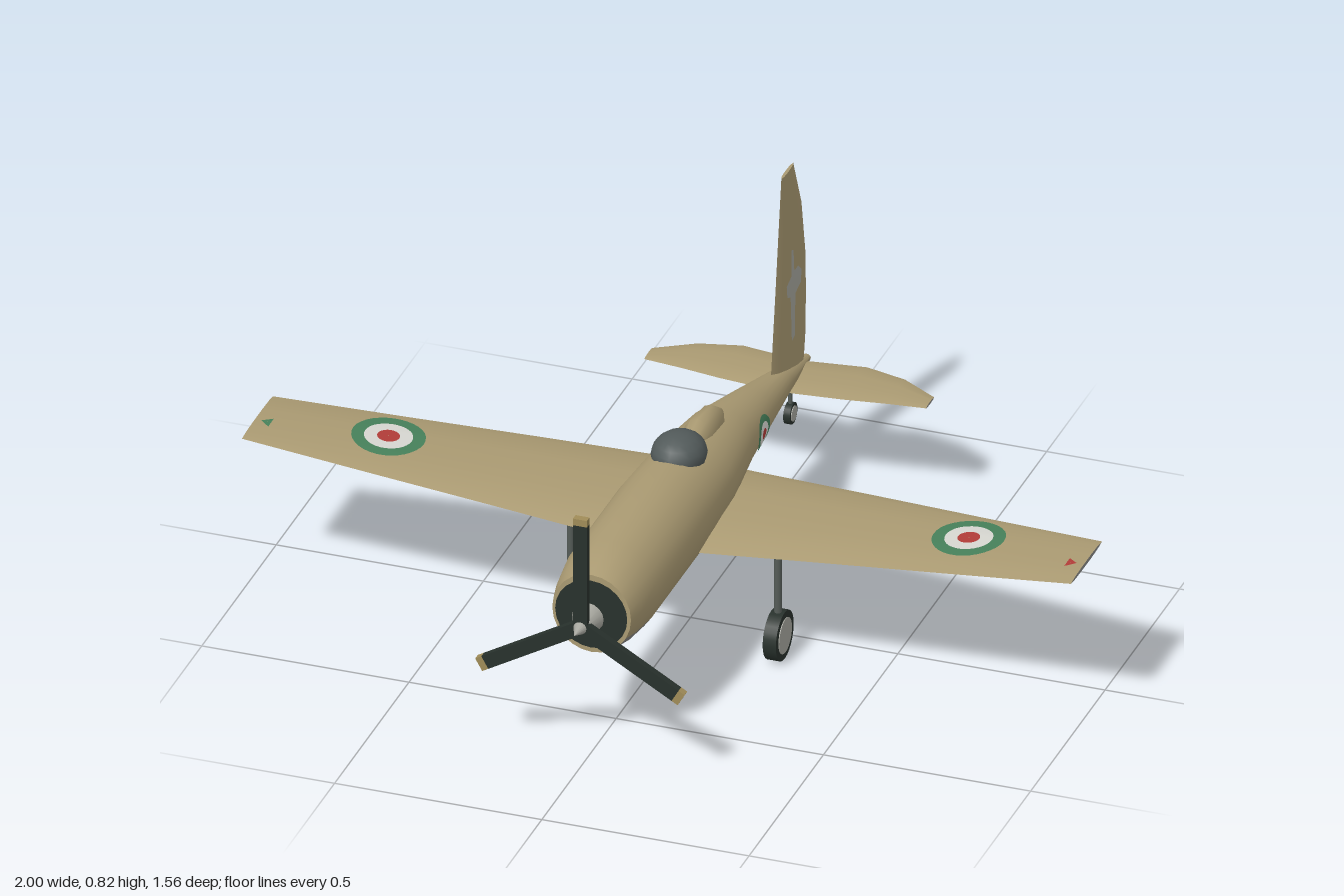
import * as THREE from 'three';
import { toCreasedNormals } from 'three/addons/utils/BufferGeometryUtils.js';

const mat = (name, color, side = THREE.FrontSide) => {
  const m = new THREE.MeshStandardMaterial({ color, side });
  m.name = name;
  return m;
};
const both = THREE.DoubleSide;

// Linear interpolation through rows sorted by their first value
function sample(rows, t) {
  let i = 0;
  while (i < rows.length - 2 && t > rows[i + 1][0]) i++;
  const a = rows[i], b = rows[i + 1];
  const k = THREE.MathUtils.clamp((t - a[0]) / (b[0] - a[0]), 0, 1);
  return a.map((v, n) => v + (b[n] - v) * k);
}

// Skin a list of equal closed rings, cap both ends; slot(i, j) picks the material
function loft(rings, slot = () => 0, capSlot = 0, crease = 0.7) {
  const n = rings[0].length, last = (rings.length - 1) * n;
  const pos = rings.flat(2), lists = [[], []];
  for (let i = 0; i < rings.length - 1; i++) {
    for (let j = 0; j < n; j++) {
      const a = i * n + j, b = i * n + (j + 1) % n;
      lists[slot(i, j)].push(a, b, a + n, b, b + n, a + n);
    }
  }
  for (let j = 1; j < n - 1; j++) {
    lists[capSlot].push(0, j + 1, j, last, last + j, last + j + 1);
  }
  const g = new THREE.BufferGeometry();
  g.setAttribute('position', new THREE.Float32BufferAttribute(pos, 3));
  g.setIndex(lists.flat());
  g.addGroup(0, lists[0].length, 0);
  g.addGroup(lists[0].length, lists[1].length, 1);
  return toCreasedNormals(g, crease);
}

// Body stations: z, centre y, half width, half height
const BODY = [
  [-0.78, 0.267, 0.01, 0.009], [-0.6, 0.299, 0.033, 0.031], [-0.4, 0.33, 0.06, 0.055],
  [-0.2, 0.357, 0.085, 0.083], [0, 0.358, 0.109, 0.108], [0.2, 0.362, 0.115, 0.122],
  [0.54, 0.363, 0.115, 0.122], [0.62, 0.361, 0.105, 0.112], [0.665, 0.36, 0.095, 0.1],
];
// Wing stations: x, leading z, trailing z, middle y, half thickness
const WING = [
  [0, 0.23, -0.19, 0.3, 0.028], [0.1, 0.23, -0.17, 0.308, 0.027], [0.4, 0.23, -0.107, 0.338, 0.02],
  [0.7, 0.23, -0.043, 0.367, 0.013], [1, 0.23, 0.02, 0.397, 0.005],
];
// Tailplane stations in the same order
const TAIL = [
  [0, -0.595, -0.75, 0.274, 0.009], [0.15, -0.61, -0.77, 0.274, 0.008],
  [0.25, -0.625, -0.745, 0.274, 0.006], [0.34, -0.635, -0.69, 0.274, 0.003],
];
// Fin stations: y, leading z, trailing z, half thickness
const FIN = [
  [0.27, -0.52, -0.76, 0.014], [0.34, -0.54, -0.772, 0.013], [0.45, -0.556, -0.775, 0.012],
  [0.55, -0.571, -0.771, 0.01], [0.69, -0.591, -0.745, 0.007], [0.82, -0.61, -0.69, 0.004],
];
// Aerofoil: fraction from trailing to leading edge, relative height
const FOIL = [[0, 0], [0.12, 0.7], [0.35, 1], [0.65, 0.95], [0.88, 0.65], [1, 0]];
const FOIL_LOOP = [...FOIL, ...FOIL.slice(1, -1).reverse().map(([u, h]) => [u, -h])];

const ellipseRing = ([z, y, rx, ry], n) => Array.from({ length: n }, (_, j) => {
  const a = j / n * Math.PI * 2;
  return [Math.sin(a) * rx, y + Math.cos(a) * ry, z];
});

function spanGeometry(rows) {
  const all = [...rows.slice(1).reverse().map(([x, ...r]) => [-x, ...r]), ...rows];
  const rings = all.map(([x, zl, zt, y, t]) =>
    FOIL_LOOP.map(([u, h]) => [x, y + h * t, zt + (zl - zt) * u]));
  return loft(rings, (i, j) => (j < 5 ? 0 : 1), 1);
}

function wingPoint(x, z, side) {
  const [, zl, zt, y, t] = sample(WING, Math.abs(x));
  const h = sample(FOIL, (z - zt) / (zl - zt))[1];
  return [x, y + side * (h * t + 0.003), z];
}

function bodyPoint(y, z, side) {
  const [, yc, rx, ry] = sample(BODY, z);
  const k = Math.min(1, Math.abs(y - yc) / ry);
  return [side * (rx * Math.sqrt(1 - k * k) + 0.003), y, z];
}

// Bend a flat ring onto a surface given by map(u, v)
function patch(r0, r1, segments, map) {
  const g = new THREE.RingGeometry(r0, r1, segments, 3);
  const p = g.attributes.position;
  for (let i = 0; i < p.count; i++) p.setXYZ(i, ...map(p.getX(i), p.getY(i)));
  g.computeVertexNormals();
  return g;
}

export function createModel() {
  const M = {
    tan: mat('sand paint', 0xaa9a72), belly: mat('underside grey', 0x8a8986),
    dark: mat('dark rubber', 0x28312c), strut: mat('strut grey', 0x555c58),
    glass: mat('canopy glass', 0x525a5a), silver: mat('light metal', 0xa6a69e, both),
    green: mat('marking green', 0x46805a, both), white: mat('marking white', 0xd6d6d0, both),
    red: mat('marking red', 0xb03c38, both), tip: mat('blade tip ochre', 0xa08c58),
  };
  const model = new THREE.Group();
  model.name = 'aeroplane';
  const add = (name, geometry, material, pos = [0, 0, 0], parent = model) => {
    const mesh = new THREE.Mesh(geometry, material);
    mesh.name = name;
    mesh.position.set(...pos);
    parent.add(mesh);
    return mesh;
  };
  const paint = [M.tan, M.belly];

  // Fuselage, nose to tail, with grey belly
  const stations = [...BODY].reverse();
  add('fuselage', loft(stations.map(s => ellipseRing(s, 24)),
    (i, j) => (stations[i][0] > 0.1 ? j >= 8 && j < 16 : j >= 10 && j < 14) ? 1 : 0), paint);
  add('engineFace', new THREE.CircleGeometry(0.087, 24), M.dark, [0, 0.36, 0.668]);

  // Canopy and the fairing behind it
  const dome = new THREE.SphereGeometry(1, 16, 10);
  dome.scale(0.064, 0.05, 0.073);
  add('canopy', dome, M.glass, [0, 0.47, 0.077]);
  const fairing = [[0.03, 0.44, 0.03, 0.03], [-0.05, 0.44, 0.037, 0.05],
    [-0.14, 0.435, 0.033, 0.045], [-0.205, 0.425, 0.008, 0.012]];
  add('canopyFairing', loft(fairing.map(s => ellipseRing(s, 12))), paint);

  // Flying surfaces
  add('wing', spanGeometry(WING), paint);
  add('tailplane', spanGeometry(TAIL), paint);
  const finLoop = [...FOIL_LOOP].map(([u, h]) => [1 - u, h]);
  add('fin', loft(FIN.map(([y, zl, zt, t]) =>
    finLoop.map(([u, h]) => [h * t, y, zt + (zl - zt) * (1 - (1 - u)) ]))), paint);

  // Propeller
  const propeller = new THREE.Group();
  propeller.name = 'propeller';
  propeller.position.set(0, 0.363, 0.735);
  model.add(propeller);
  for (let i = 0; i < 3; i++) {
    const blade = new THREE.Group();
    blade.name = 'blade';
    blade.rotation.z = i * Math.PI * 2 / 3;
    propeller.add(blade);
    add('bladeBody', new THREE.BoxGeometry(0.034, 0.265, 0.018), M.dark, [0, 0.1325, 0], blade);
    add('bladeTip', new THREE.BoxGeometry(0.034, 0.017, 0.018), M.tip, [0, 0.2735, 0], blade);
  }
  const cone = new THREE.ConeGeometry(0.038, 0.092, 16);
  cone.rotateX(Math.PI / 2);
  add('spinner', cone, M.silver, [0, 0, 0.001], propeller);

  // Wheels with struts
  const wheel = (name, x, z, r, width, top, strutR) => {
    const g = new THREE.Group();
    g.name = name;
    g.position.set(x, 0, z);
    model.add(g);
    const disc = (radius, w) => new THREE.CylinderGeometry(radius, radius, w, 24).rotateZ(Math.PI / 2);
    const y = name === 'tailWheel' ? 0.18 : r;
    add('tyre', disc(r, width), M.dark, [0, y, 0], g);
    add('wheelHub', disc(r * 0.72, width + 0.004), M.silver, [0, y, 0], g);
    const low = y + r * 0.6;
    add('strut', new THREE.CylinderGeometry(strutR, strutR, top - low, 10), M.strut,
      [0, (top + low) / 2, 0], g);
  };
  for (const s of [-1, 1]) wheel('mainWheel', s * 0.25, 0.108, 0.06, 0.032, 0.315, 0.009);
  wheel('tailWheel', 0, -0.67, 0.026, 0.016, 0.28, 0.005);

  // Roundels on wings and body, coloured wing tip marks
  const rings = [[0.056, 0.085, 'green'], [0.026, 0.056, 'white'], [0.001, 0.026, 'red']];
  for (const s of [-1, 1]) {
    for (const [r0, r1, c] of rings) {
      for (const face of [-1, 1]) {
        add('wingRoundel', patch(r0, r1, 32, (u, v) =>
          wingPoint(s * 0.7 + u, 0.08 - v * face, face)), M[c]);
      }
      add('bodyRoundel', patch(r0, r1, 32, (u, v) =>
        bodyPoint(0.345 + v * 0.44, -0.28 - u * s * 0.7, s)), M[c]);
    }
    for (const face of [-1, 1]) {
      add('tipMark', patch(0.001, 0.022, 3, (u, v) =>
        wingPoint(s * (0.968 + u * 0.7), 0.145 - v, face)), s > 0 ? M.red : M.green);
    }
  }

  // Pale patch on each side of the fin
  const outline = [[-0.65, 0.615], [-0.662, 0.61], [-0.664, 0.555], [-0.69, 0.555], [-0.712, 0.535],
    [-0.705, 0.505], [-0.668, 0.495], [-0.66, 0.39], [-0.64, 0.385], [-0.636, 0.5],
    [-0.615, 0.51], [-0.612, 0.54], [-0.645, 0.55]];
  const shape = new THREE.Shape(outline.map(([z, y]) => new THREE.Vector2(z, y)));
  for (const s of [-1, 1]) {
    const g = new THREE.ShapeGeometry(shape);
    const p = g.attributes.position;
    for (let i = 0; i < p.count; i++) {
      const z = p.getX(i), y = p.getY(i);
      p.setXYZ(i, s * (sample(FIN, y)[3] + 0.002), y, z);
    }
    g.computeVertexNormals();
    add('finPatch', g, M.silver);
  }
  return model;
}
